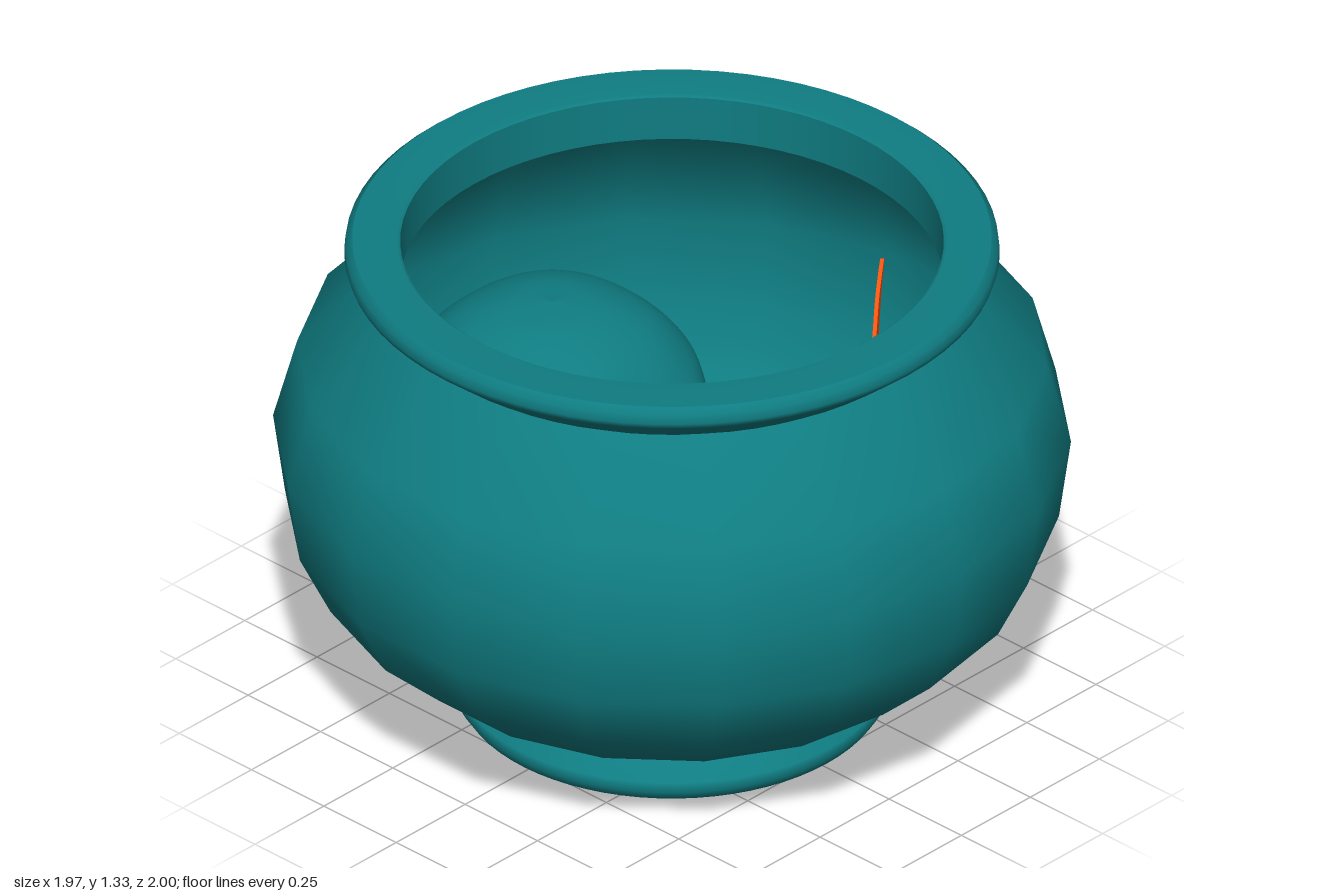
import * as THREE from 'three';
import { ParametricGeometry } from 'three/addons/geometries/ParametricGeometry.js';

const teal = new THREE.MeshStandardMaterial({ color: 0x0f7d82 });
const tealOpen = new THREE.MeshStandardMaterial({ color: 0x0f7d82, side: THREE.DoubleSide });
const orange = new THREE.MeshStandardMaterial({ color: 0xff5511 });
const brown = new THREE.MeshStandardMaterial({ color: 0x40280c });

function add(parent, name, geometry, material) {
  const mesh = new THREE.Mesh(geometry, material);
  mesh.name = name;
  parent.add(mesh);
  return mesh;
}

// A repeated profile point makes a crease
function lathe(points, sides) {
  return new THREE.LatheGeometry(points.map(([r, y]) => new THREE.Vector2(r, y)), sides);
}

// Smooth interpolation of a table of rows, two columns per curve
function columns(rows, a, b) {
  const curve = new THREE.CatmullRomCurve3(rows.map((r) => new THREE.Vector3(r[a], r[b], 0)), false, 'catmullrom');
  return (t) => curve.getPoint(t);
}

// Soft round bump of radius r, used to press in or raise the surface
function dent(x, y, cx, cy, r) {
  const d = ((x - cx) / r) ** 2 + ((y - cy) / r) ** 2;
  return Math.exp(-d * d);
}

function buildBowl(root) {
  // Belly: a faceted outline with smooth shading, open at both ends
  add(root, 'bowlBody', lathe([
    [0.48, 0.12], [0.73, 0.24], [0.89, 0.385], [0.97, 0.55], [1.0, 0.77], [0.94, 0.99], [0.735, 1.21],
  ], 18), tealOpen);
  // Flared rim with a flat top
  add(root, 'rim', lathe([
    [0.68, 1.2], [0.725, 1.2], [0.725, 1.2], [0.815, 1.275], [0.82, 1.29], [0.817, 1.315], [0.8, 1.33],
    [0.8, 1.33], [0.69, 1.33], [0.68, 1.322], [0.68, 1.322], [0.68, 1.2],
  ], 72), tealOpen);
  // Foot ring, closed below and forming the floor above
  add(root, 'foot', lathe([
    [0, 0], [0.5, 0], [0.5, 0], [0.535, 0.012], [0.553, 0.04], [0.548, 0.065], [0.485, 0.125],
    [0.485, 0.125], [0, 0.125],
  ], 72), teal);
}

function buildSkull(root) {
  const skull = new THREE.Group();
  skull.name = 'skull';
  skull.position.x = -0.035;
  // Height, half width, front z, back z from chin to crown
  const rows = [
    [0.14, 0.02, 0.03, -0.02], [0.15, 0.13, 0.09, -0.1], [0.22, 0.17, 0.16, -0.15],
    [0.32, 0.19, 0.19, -0.2], [0.4, 0.21, 0.19, -0.28], [0.48, 0.28, 0.15, -0.5],
    [0.56, 0.33, 0.08, -0.66], [0.64, 0.345, 0.05, -0.74], [0.72, 0.36, 0.01, -0.76],
    [0.82, 0.345, -0.04, -0.73], [0.92, 0.26, -0.13, -0.64], [0.98, 0.14, -0.25, -0.52],
    [1.0, 0.01, -0.37, -0.39],
  ];
  const side = columns(rows, 0, 1), depth = columns(rows, 2, 3);
  const power = (c) => Math.sign(c) * Math.abs(c) ** 0.88;
  add(skull, 'cranium', new ParametricGeometry((u, v, out) => {
    const a = u * Math.PI * 2, s = side(v), d = depth(v);
    const x = s.y * power(Math.sin(a)), y = s.x;
    let z = (d.x + d.y) / 2 + ((d.x - d.y) / 2) * power(Math.cos(a));
    if (Math.cos(a) > 0) {
      // Eye sockets, nose opening, brow ridge, nose bridge and mouth line
      z -= 0.14 * dent(Math.abs(x), y, 0.15, 0.58, 0.095);
      z -= 0.1 * dent(x, y, 0, 0.45, 0.055);
      z += 0.04 * dent(Math.abs(x), y, 0.17, 0.7, 0.08);
      z += 0.05 * dent(x, y, 0, 0.56, 0.05);
      z -= 0.04 * Math.cos(a) * dent(0, y, 0, 0.3, 0.025);
    }
    out.set(x, y, z);
  }, 72, 64), teal);
  // Two rows of teeth round the mouth
  for (const y of [0.275, 0.325]) {
    for (let i = -3; i <= 3; i++) {
      const a = i * 0.27;
      const tooth = add(skull, 'tooth', new THREE.BoxGeometry(0.04, 0.042, 0.03), teal);
      tooth.position.set(0.17 * Math.sin(a), y, 0.17 * Math.cos(a));
      tooth.rotation.y = a;
    }
  }
  root.add(skull);
}

function fin(parent, name, points) {
  const shape = new THREE.Shape();
  shape.moveTo(...points[0]);
  shape.splineThru(points.slice(1).map((p) => new THREE.Vector2(...p)));
  const geometry = new THREE.ExtrudeGeometry(shape, { depth: 0.01, bevelEnabled: false, curveSegments: 4 });
  return add(parent, name, geometry.translate(0, 0, -0.005), orange);
}

function buildFish(root) {
  // Nose at the local origin, tail along local +x
  const fish = new THREE.Group();
  fish.name = 'fish';
  fish.position.set(0.03, 0.865, 0.59);
  fish.rotation.y = 0.655;
  // Length, half width, top, bottom from nose to tail root
  const rows = [
    [0, 0.004, 0.0, -0.01], [0.012, 0.03, 0.02, -0.035], [0.07, 0.063, 0.055, -0.065],
    [0.16, 0.075, 0.088, -0.088], [0.25, 0.066, 0.088, -0.085], [0.34, 0.045, 0.06, -0.055],
    [0.42, 0.022, 0.035, -0.025], [0.49, 0.006, 0.035, -0.025],
  ];
  const side = columns(rows, 0, 1), height = columns(rows, 2, 3);
  add(fish, 'fishBody', new ParametricGeometry((u, v, out) => {
    const a = u * Math.PI * 2, s = side(v), h = height(v);
    out.set(s.x, (h.x + h.y) / 2 + ((h.x - h.y) / 2) * Math.cos(a), s.y * Math.sin(a));
  }, 28, 32), orange);
  fin(fish, 'tailFin', [
    [0.44, 0.03], [0.54, 0.07], [0.62, 0.15], [0.74, 0.19], [0.66, 0.12], [0.6, 0.03],
    [0.6, -0.06], [0.55, -0.07], [0.44, -0.02],
  ]);
  fin(fish, 'dorsalFin', [[0.15, 0.07], [0.21, 0.125], [0.27, 0.17], [0.31, 0.14], [0.41, 0.1], [0.39, 0.045], [0.27, 0.06]]);
  fin(fish, 'analFin', [[0.3, -0.05], [0.36, -0.11], [0.39, -0.1], [0.4, -0.02]]);
  for (const s of [-1, 1]) {
    const eye = add(fish, 'eye', new THREE.SphereGeometry(0.038, 20, 14), brown);
    eye.scale.z = 0.5;
    eye.position.set(0.075, 0.005, s * 0.054);
    const pectoral = fin(fish, 'pectoralFin', [[0, 0.015], [0.07, -0.02], [0.1, -0.06], [0.05, -0.06], [0, -0.02]]);
    pectoral.position.set(0.17, -0.045, s * 0.062);
    pectoral.rotation.set(-s * 0.5, -s * 0.25, 0);
  }
  root.add(fish);
}

export function createModel() {
  const root = new THREE.Group();
  root.name = 'fishBowl';
  buildBowl(root);
  buildSkull(root);
  buildFish(root);
  return root;
}
